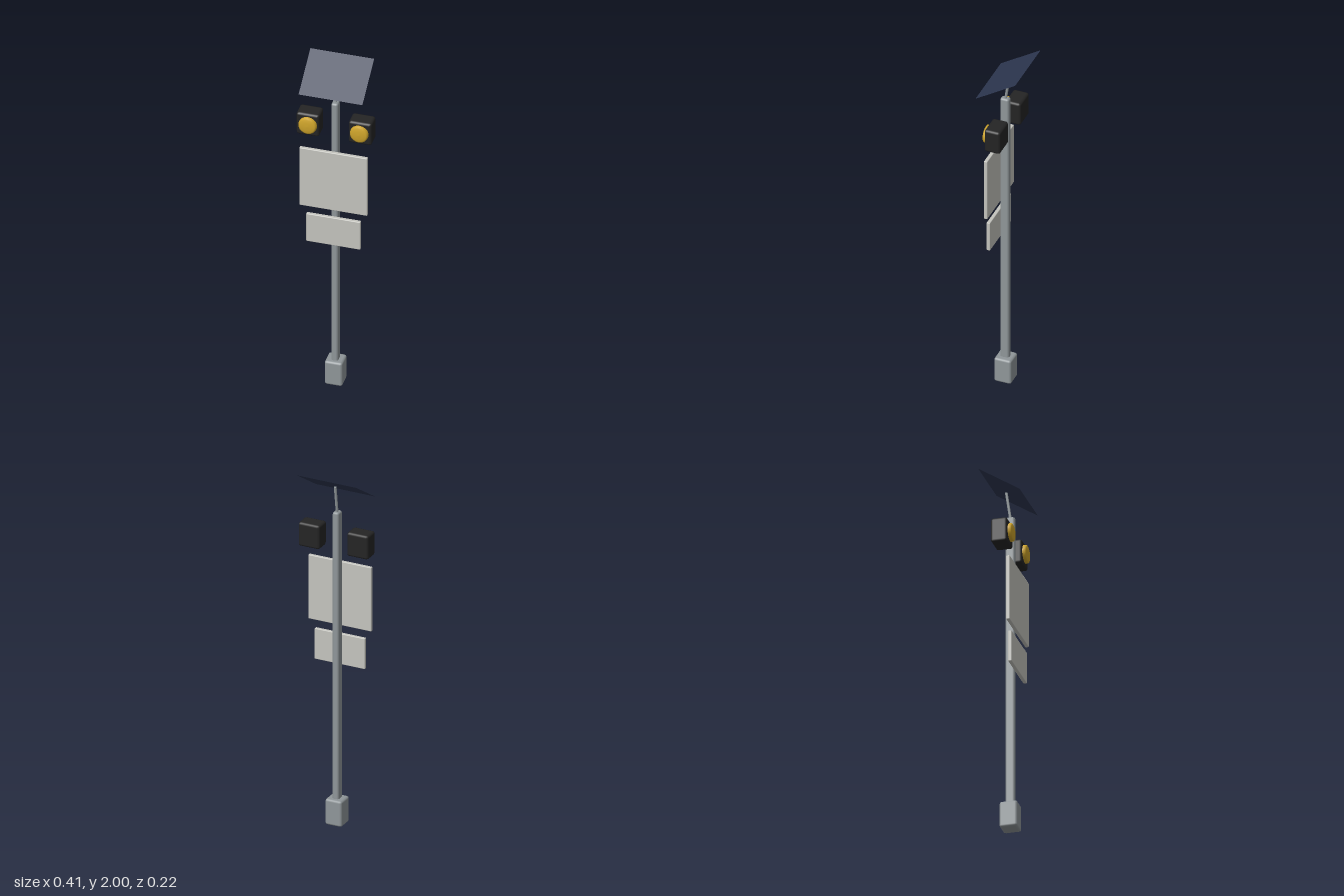
import * as THREE from 'three';
import { RoundedBoxGeometry } from 'three/addons/geometries/RoundedBoxGeometry.js';

const material = (name, color, side = THREE.FrontSide) => {
  const m = new THREE.MeshStandardMaterial({ color, side });
  m.name = name;
  return m;
};

export function createModel() {
  const group = new THREE.Group();
  const steel = material('steel grey', 0x8f9699);
  const plate = material('sign grey', 0xc4c4be);
  const black = material('housing black', 0x242424);
  const amber = material('lens amber', 0xcda32a);
  const navy = material('panel navy', 0x2d3650, THREE.DoubleSide);

  const add = (name, geometry, mat, x, y, z) => {
    const mesh = new THREE.Mesh(geometry, mat);
    mesh.name = name;
    mesh.position.set(x, y, z);
    group.add(mesh);
    return mesh;
  };
  // Box with softened edges, given by its size and centre
  const block = (name, mat, [w, h, d], [x, y, z], bevel) =>
    add(name, new RoundedBoxGeometry(w, h, d, 1, bevel), mat, x, y, z);

  // Base and pole
  block('base', steel, [0.096, 0.146, 0.096], [0, 0.073, 0.013], 0.012);
  block('pole', steel, [0.037, 1.65, 0.05], [0, 0.955, 0.0145], 0.011);

  // Blank sign plates
  block('largeSign', plate, [0.366, 0.365, 0.02], [0, 1.3, 0.051], 0.004);
  block('smallSign', plate, [0.292, 0.175, 0.02], [0, 0.982, 0.051], 0.004);

  // Pair of warning lights with domed lenses
  const lensProfile = [[0, 0.023], [0.022, 0.022], [0.04, 0.019], [0.048, 0.015], [0.05, 0]]
    .reverse().map(([r, y]) => new THREE.Vector2(r, y));
  for (const side of [-1, 1]) {
    const prefix = side > 0 ? 'left' : 'right';
    block(prefix + 'LightHousing', black, [0.124, 0.135, 0.088], [side * 0.141, 1.628, 0.007], 0.013);
    const lens = add(prefix + 'LightLens', new THREE.LatheGeometry(lensProfile, 18), amber, side * 0.139, 1.63, 0.05);
    lens.rotation.x = Math.PI / 2;
  }

  // Leaning strut that carries the solar panel
  const foot = new THREE.Vector3(0, 1.77, 0.014);
  const head = new THREE.Vector3(0, 1.927, -0.009);
  const axis = head.clone().sub(foot);
  const middle = foot.clone().add(head).multiplyScalar(0.5);
  const strut = add('panelStrut', new THREE.CylinderGeometry(0.0075, 0.0075, axis.length(), 10), steel, 0, middle.y, middle.z);
  strut.quaternion.setFromUnitVectors(new THREE.Vector3(0, 1, 0), axis.normalize());

  // Thin panel, low edge towards the front
  const panel = add('solarPanel', new THREE.PlaneGeometry(0.344, 0.264), navy, 0, 1.93, 0);
  panel.rotation.x = -Math.atan2(0.222, 0.142);

  return group;
}
